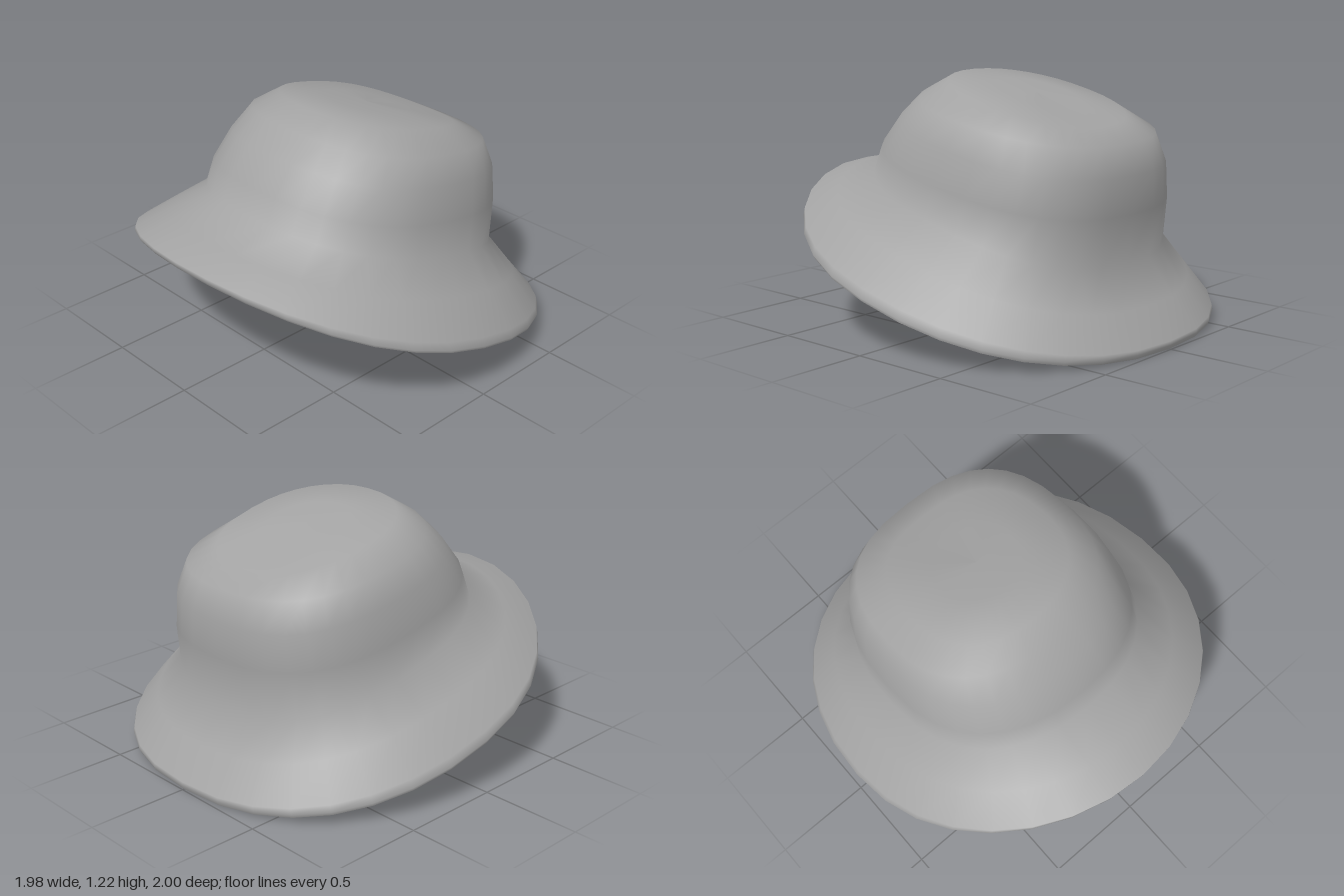
import * as THREE from 'three';

const SIDES = 32;

// Each ring: [front z, front y, back z, back y, half width, side y, squareness]
const edgeRings = [
  [0.985, 0.66, -0.99, 0.0, 0.985, 0.25, 2.15],
  [0.998, 0.68, -1.0, 0.02, 0.99, 0.265, 2.15],
  [1.0, 0.70, -1.0, 0.04, 0.975, 0.305, 2.15],
];
const brimRings = [
  [0.82, 0.735, -0.88, 0.185, 0.82, 0.445, 2.25],
  [0.60, 0.80, -0.75, 0.36, 0.66, 0.58, 2.45],
];
const crownRings = [
  [0.55, 0.92, -0.775, 0.60, 0.64, 0.74, 2.5],
  [0.44, 1.05, -0.775, 0.78, 0.60, 0.90, 2.5],
  [0.33, 1.15, -0.73, 0.92, 0.545, 1.025, 2.45],
  [0.21, 1.22, -0.60, 0.99, 0.41, 1.115, 2.35],
  [0.0, 1.185, -0.40, 1.06, 0.21, 1.13, 2.2],
  [-0.2, 1.13, -0.2, 1.13, 0, 1.13, 2.2],
];

// Shallow underside, running from the middle out to the brim edge
const undersideRings = [
  [-0.07, 0.60, -0.07, 0.60, 0, 0.60, 2.2],
  [0.25, 0.685, -0.39, 0.48, 0.32, 0.58, 2.4],
  [0.57, 0.765, -0.71, 0.34, 0.62, 0.545, 2.4],
  [0.80, 0.70, -0.86, 0.16, 0.80, 0.41, 2.25],
  edgeRings[0],
];

// Point on a tilted oval, squarer at the back, that lifts towards the front
function ringPoint([zf, yf, zb, yb, w, ys, p], t) {
  const exponent = 2 / (p - 0.15 * Math.cos(t));
  const power = (v) => Math.sign(v) * Math.abs(v) ** exponent;
  const s = power(Math.sin(t));
  const c = power(Math.cos(t));
  const tilt = ((yf - yb) / 2) * (0.88 * c + 0.12 * c ** 3);
  const lift = ((yf + yb) / 2 - ys) * (c ** 2 + c ** 4) / 2;
  return [w * s, ys + tilt + lift, (zf + zb) / 2 + ((zf - zb) / 2) * c];
}

// Skin a list of rings with smooth normals
function skin(rings) {
  const positions = [];
  const index = [];
  rings.forEach((ring, i) => {
    for (let j = 0; j < SIDES; j++) {
      positions.push(...ringPoint(ring, (j / SIDES) * Math.PI * 2));
      if (i === rings.length - 1) continue;
      const k = (j + 1) % SIDES;
      const a = i * SIDES + j;
      const b = i * SIDES + k;
      index.push(a, b, b + SIDES, a, b + SIDES, a + SIDES);
    }
  });
  const geometry = new THREE.BufferGeometry();
  geometry.setAttribute('position', new THREE.Float32BufferAttribute(positions, 3));
  geometry.setIndex(index);
  geometry.computeVertexNormals();
  return geometry;
}

export function createModel() {
  const cloth = new THREE.MeshStandardMaterial({ color: 0xa3a3a3 });
  cloth.name = 'grey cloth';

  const hat = new THREE.Group();
  hat.name = 'bucketHat';
  const add = (name, rings) => {
    const mesh = new THREE.Mesh(skin(rings), cloth);
    mesh.name = name;
    hat.add(mesh);
  };

  // Rolled edge, brim and crown in one smooth skin
  add('outerShell', [...edgeRings, ...brimRings, ...crownRings]);
  add('underside', undersideRings);

  return hat;
}
